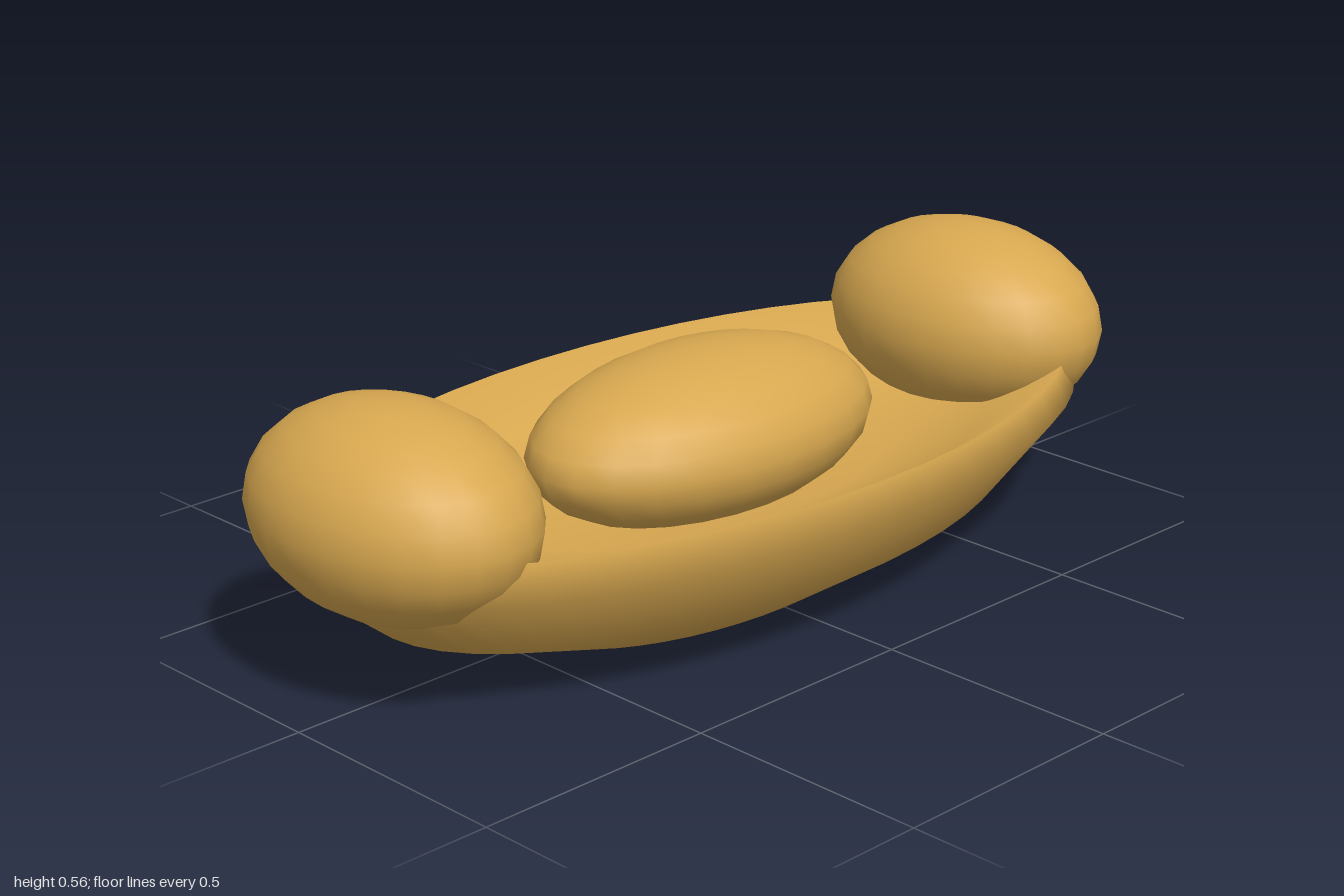
import * as THREE from 'three';

export function createModel() {
  const model = new THREE.Group();
  const gold = new THREE.MeshStandardMaterial({ color: 0xd8a850 });

  // Oval bowl: underside, flared wall, rim, then the hollow inside
  const profile = [
    [0, 0], [0.45, 0], [0.78, 0.11], [0.97, 0.26], [0.94, 0.33],
    [0.72, 0.24], [0.45, 0.2], [0, 0.19],
  ].map(([r, y]) => new THREE.Vector2(r, y));
  const bowlGeometry = new THREE.LatheGeometry(profile, 48);
  bowlGeometry.scale(1, 1, 0.5);
  const bowl = new THREE.Mesh(bowlGeometry, gold);
  bowl.name = 'bowl';
  model.add(bowl);

  // Smooth ellipsoid with given centre and half sizes
  function addEllipsoid(name, center, radii) {
    const geometry = new THREE.SphereGeometry(1, 24, 12);
    geometry.scale(...radii);
    const mesh = new THREE.Mesh(geometry, gold);
    mesh.name = name;
    mesh.position.set(...center);
    model.add(mesh);
  }

  // Raised centre and the two rounded ends
  addEllipsoid('centreMound', [0, 0.31, 0], [0.41, 0.165, 0.24]);
  addEllipsoid('leftEnd', [0.77, 0.36, 0], [0.23, 0.2, 0.315]);
  addEllipsoid('rightEnd', [-0.77, 0.36, 0], [0.23, 0.2, 0.315]);

  return model;
}
